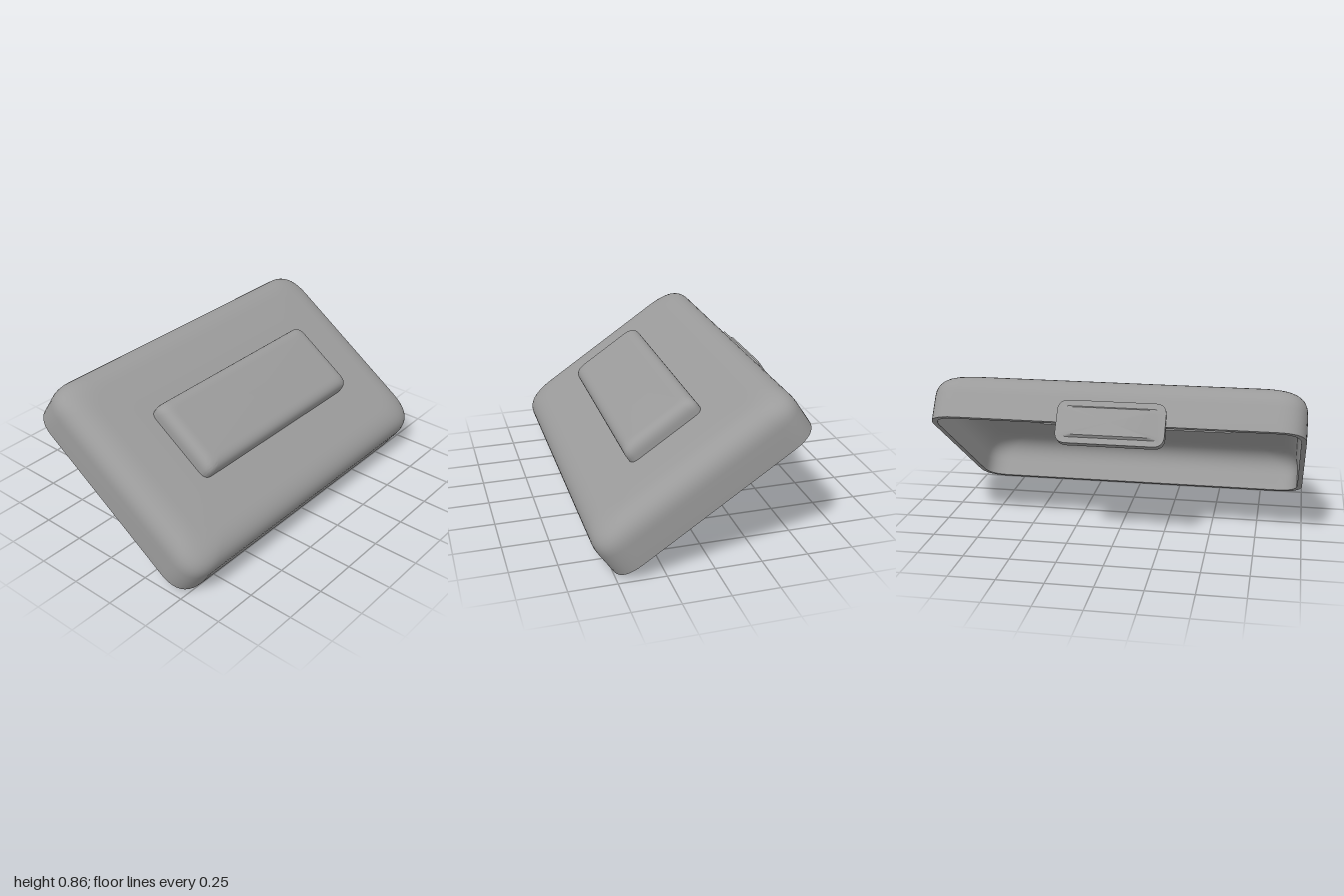
import * as THREE from 'three';
import { toCreasedNormals } from 'three/addons/utils/BufferGeometryUtils.js';

const STEPS = 10;

// Rounded rectangle loop in the xz plane at height y
function ring([hx, hz, y, r]) {
  const pts = [];
  for (let q = 0; q < 4; q++) {
    const sx = q === 0 || q === 3 ? 1 : -1, sz = q < 2 ? 1 : -1;
    for (let i = 0; i <= STEPS; i++) {
      const t = q % 2 ? 1 - i / STEPS : i / STEPS;
      pts.push([sx * (hx - r * t * t), y, sz * (hz - r * (1 - t) * (1 - t))]);
    }
  }
  return pts;
}

// Skin a list of rings [halfX, halfZ, y, cornerRadius]
function loft(rows, crease = 0.6) {
  const rings = rows.map(ring), n = rings[0].length;
  const pos = rings.flat(2), index = [];
  for (let j = 0; j < rings.length - 1; j++) {
    for (let i = 0; i < n; i++) {
      const a = j * n + i, c = j * n + (i + 1) % n;
      index.push(a, a + n, c, c, a + n, c + n);
    }
  }
  const geo = new THREE.BufferGeometry();
  geo.setAttribute('position', new THREE.Float32BufferAttribute(pos, 3));
  geo.setIndex(index);
  return toCreasedNormals(geo, crease);
}

// Soft shoulder from the vertical side (inset 0) to the flat top
function shoulder(hx, hz, top, r, inset, drop, steps = 10) {
  const rows = [];
  for (let i = 0; i <= steps; i++) {
    const t = i / steps;
    const d = inset * t * t;
    rows.push([hx - d, hz - d, top - drop * (1 - t) * (1 - t), r]);
  }
  return rows;
}

export function createModel() {
  const model = new THREE.Group();
  const grey = new THREE.MeshStandardMaterial({ color: 0x9b9b9b });
  const add = (parent, name, geo) => {
    const mesh = new THREE.Mesh(geo, grey);
    mesh.name = name;
    parent.add(mesh);
    return mesh;
  };

  // Whole lid leans forward on its front rim
  const lid = new THREE.Group();
  lid.name = 'lid';
  lid.rotation.x = 0.594;
  lid.position.set(0, 0.345, -0.012);
  model.add(lid);

  // Hollow shell: inner face, rim, outer face
  add(lid, 'lidShell', loft([
    [0.59, 0.208, 0.235, 0.05],
    ...shoulder(0.972, 0.588, 0.235, 0.13, 0.17, 0.14).reverse(),
    [0.972, 0.588, 0, 0.13],
    [1, 0.616, 0, 0.155],
    ...shoulder(1, 0.616, 0.268, 0.155, 0.16, 0.13),
    [0.61, 0.228, 0.267, 0.05],
  ]));

  // Raised panel on top, with the matching recess underneath
  const panel = new THREE.Group();
  panel.name = 'raisedPanel';
  lid.add(panel);
  add(panel, 'panelOutside', loft([
    [0.61, 0.228, 0.265, 0.05],
    ...shoulder(0.61, 0.228, 0.36, 0.05, 0.07, 0.07),
    [0, 0, 0.36, 0],
  ]));
  add(panel, 'panelRecess', loft([
    [0, 0, 0.325, 0],
    ...shoulder(0.59, 0.208, 0.325, 0.05, 0.06, 0.06).reverse(),
    [0.59, 0.208, 0.235, 0.05],
  ]));

  // Latch plate with a raised pad on the back wall, its ends sloping softly
  const latch = add(lid, 'latch', loft([
    [0, 0, 0.583, 0],
    [0.285, 0.116, 0.583, 0.06],
    [0.285, 0.116, 0.631, 0.06],
    [0.25, 0.084, 0.631, 0.03],
    [0.21, 0.074, 0.647, 0.02],
    [0, 0, 0.647, 0],
  ], 0.5));
  latch.rotation.x = -Math.PI / 2;
  latch.position.y = 0.003;

  return model;
}
